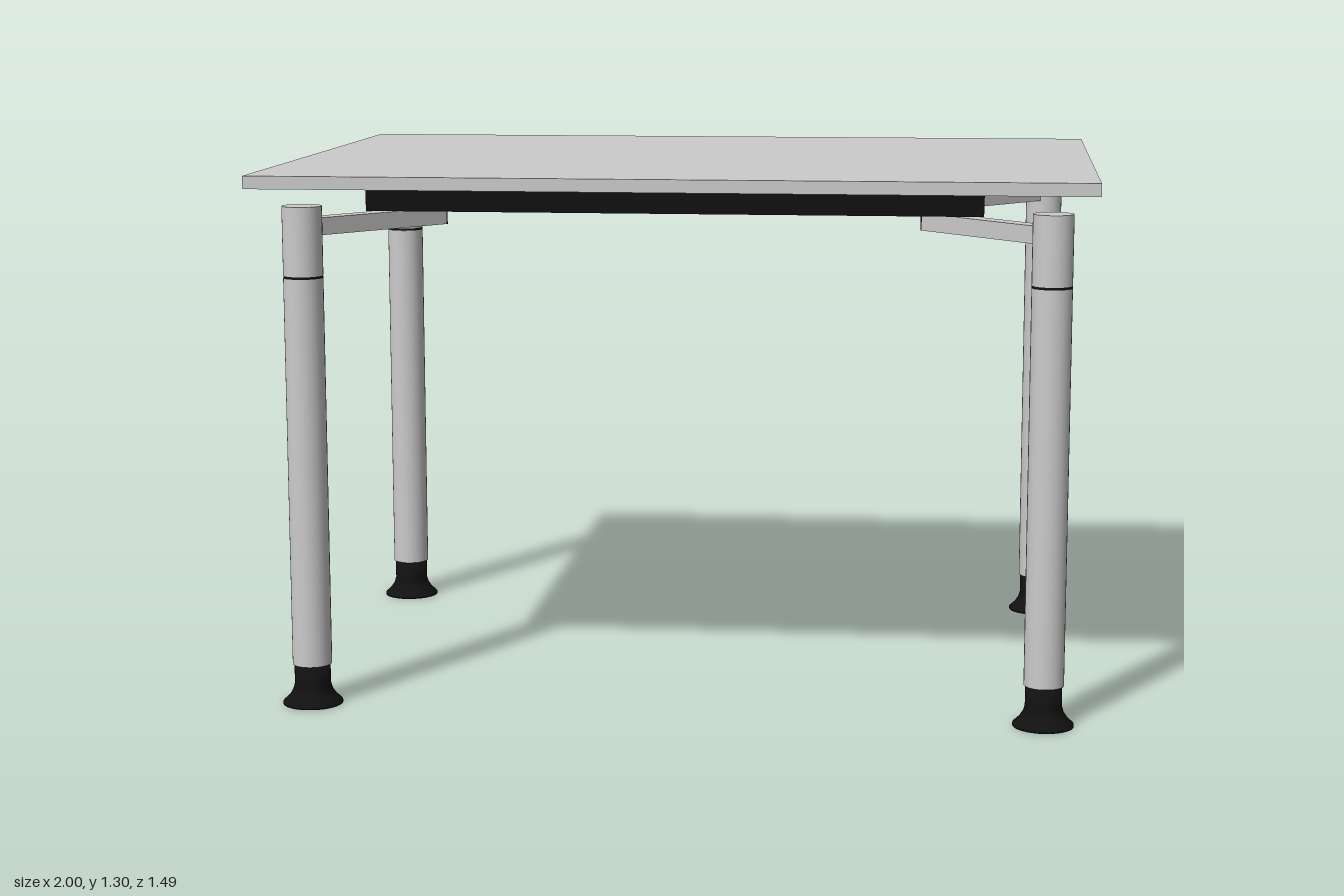
import * as THREE from 'three';

const grey = new THREE.MeshStandardMaterial({ color: 0xcccccc });
const black = new THREE.MeshStandardMaterial({ color: 0x111111 });

function add(parent, name, geometry, material, x = 0, y = 0, z = 0) {
  const mesh = new THREE.Mesh(geometry, material);
  mesh.name = name;
  mesh.position.set(x, y, z);
  parent.add(mesh);
  return mesh;
}

function cylinder(radius, y0, y1) {
  return new THREE.CylinderGeometry(radius, radius, y1 - y0, 32).translate(0, (y0 + y1) / 2, 0);
}

// Flared foot, from the floor up to the tube
function footGeometry() {
  const profile = [[0, 0], [0.073, 0], [0.073, 0.006], [0.058, 0.02], [0.049, 0.034],
    [0.044, 0.05], [0.044, 0.1], [0, 0.1]];
  return new THREE.LatheGeometry(profile.map(([r, y]) => new THREE.Vector2(r, y)), 32);
}

// Leg with its bracket running inwards by (dx, dz)
function createLeg(name, x, z, dx, dz) {
  const leg = new THREE.Group();
  leg.name = name;
  leg.position.set(x, 0, z);
  add(leg, 'foot', footGeometry(), black);
  add(leg, 'lowerTube', cylinder(0.048, 0.1, 1.052), grey);
  add(leg, 'jointRing', cylinder(0.0475, 1.052, 1.058), black);
  add(leg, 'upperTube', cylinder(0.048, 1.058, 1.225), grey);

  const arm = new THREE.Group();
  arm.name = 'bracket';
  arm.rotation.y = Math.atan2(-dz, dx);
  leg.add(arm);
  const length = Math.hypot(dx, dz);
  add(arm, 'bracketBar', new THREE.BoxGeometry(length, 0.042, 0.046), grey, length / 2, 1.174, 0);
  add(arm, 'bracketEndCap', new THREE.BoxGeometry(0.004, 0.042, 0.046), black, length + 0.002, 1.174, 0);
  return leg;
}

export function createModel() {
  const desk = new THREE.Group();
  desk.name = 'desk';

  add(desk, 'tabletop', new THREE.BoxGeometry(2, 0.031, 1.49), grey, 0, 1.289, 0);
  add(desk, 'underPanel', new THREE.BoxGeometry(1.505, 0.076, 0.753), black, -0.018, 1.236, 0.086);

  // Brackets are turned slightly differently on each leg
  const legs = [
    ['frontRightLeg', -0.888, 0.63, 0.27, -0.33],
    ['frontLeftLeg', 0.895, 0.647, -0.295, -0.312],
    ['backLeftLeg', 0.895, -0.533, -0.28, 0.33],
    ['backRightLeg', -0.888, -0.533, 0.22, 0.367],
  ];
  for (const leg of legs) desk.add(createLeg(...leg));
  return desk;
}
